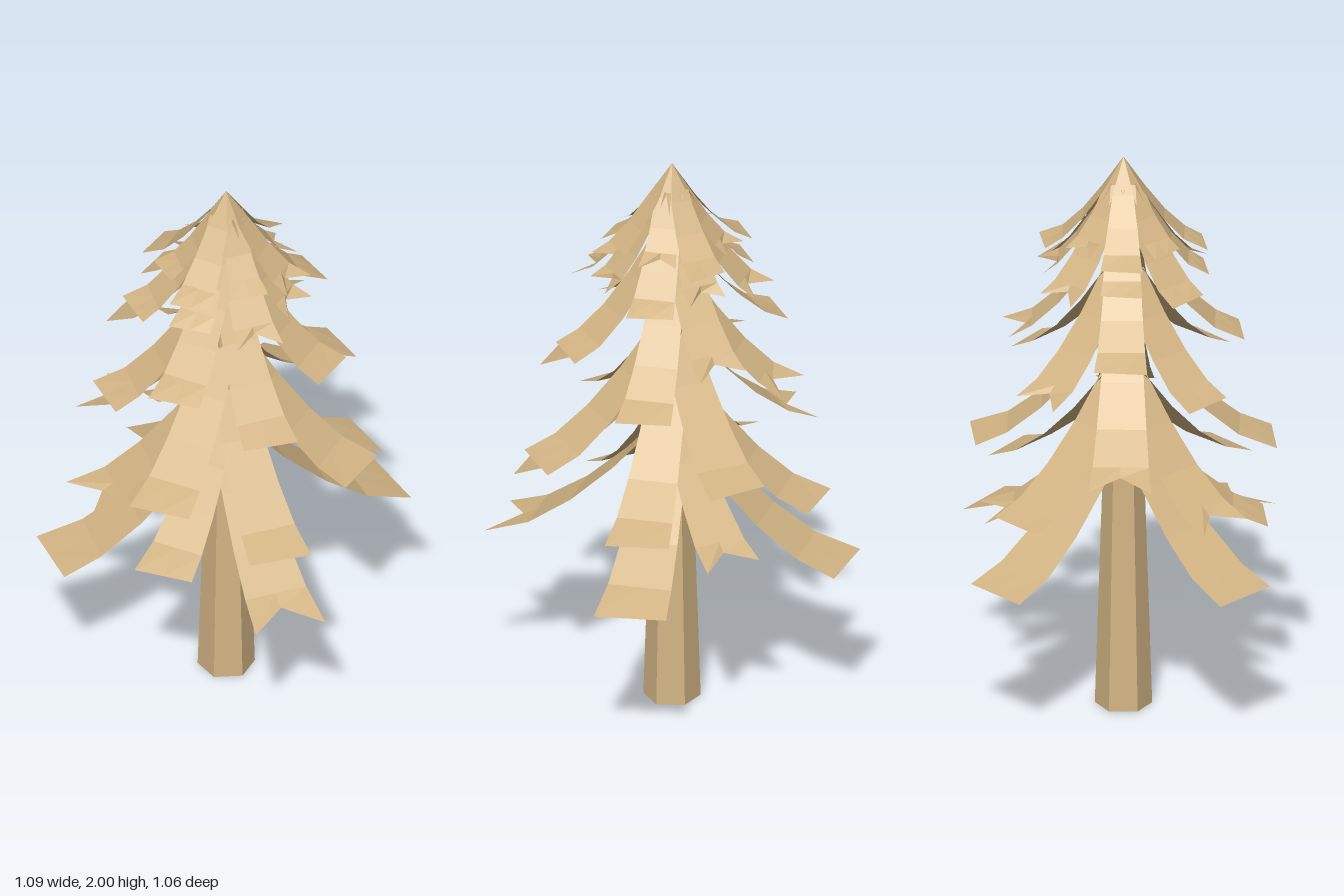
import * as THREE from 'three';

// Tiers from bottom to top; quarters count from +x towards +z
const TIERS = [
  { name: 'lowestBoughs', tip: 0.58, reach: 0.62, notched: [0], diagonal: true },
  { name: 'lowestSideBoughs', tip: 0.69, reach: 0.48, notched: [3], quarters: [1, 3] },
  { name: 'lowerBoughs', tip: 0.8, reach: 0.52, notched: [1], diagonal: true },
  { name: 'lowerSideBoughs', tip: 0.98, reach: 0.51, notched: [2] },
  { name: 'middleBoughs', tip: 1.22, reach: 0.43, notched: [2], diagonal: true },
  { name: 'middleSideBoughs', tip: 1.37, reach: 0.4, notched: [3] },
  { name: 'upperBoughs', tip: 1.57, reach: 0.33, notched: [0, 2], diagonal: true },
  { name: 'upperSideBoughs', tip: 1.6, reach: 0.28, notched: [0, 3] },
  { name: 'crownBoughs', tip: 1.71, reach: 0.225, notched: [2, 3], diagonal: true, crown: true },
  { name: 'crownSideBoughs', tip: 1.69, reach: 0.275, notched: [0], crown: true },
];

// Drooping strip running along +x, steep at the root and flatter at the tip
function boughGeometry({ tip, reach, crown }, notched, slant) {
  const steps = 4, positions = [], index = [];
  const inner = crown ? 0 : 0.04;
  const drop = 0.2 + 0.4 * reach;
  const width = 0.06 + 0.3 * reach;
  for (let i = 0; i <= steps; i++) {
    const t = i / steps;
    const y = tip + drop * (1 - t) ** 1.6;
    const half = width / 2 * (crown ? t ** 0.5 : 0.58 + 0.42 * t);
    const atTip = i === steps;
    for (const side of [-1, 0, 1]) {
      // The tip is cut slightly askew, and some have a V-shaped notch
      const notch = atTip && notched && side === 0 ? width * 0.38 : 0;
      const skew = atTip ? side * slant : 0;
      positions.push(inner + (reach - inner) * t - notch + skew, y + notch * 0.25, side * half);
    }
    if (atTip) continue;
    for (const a of [i * 3, i * 3 + 1]) index.push(a, a + 1, a + 4, a, a + 4, a + 3);
  }
  const geometry = new THREE.BufferGeometry();
  geometry.setAttribute('position', new THREE.Float32BufferAttribute(positions, 3));
  geometry.setIndex(index);
  geometry.computeVertexNormals();
  return geometry;
}

export function createModel() {
  const tree = new THREE.Group();
  tree.name = 'pineTree';
  const wood = new THREE.MeshStandardMaterial({ color: 0xd2b484, flatShading: true });
  const foliage = new THREE.MeshStandardMaterial({ color: 0xd2b484, flatShading: true, side: THREE.DoubleSide });

  // Six-sided tapering trunk
  const trunk = new THREE.Mesh(new THREE.CylinderGeometry(0.04, 0.097, 1.8, 6), wood);
  trunk.name = 'trunk';
  trunk.position.set(0.02, 0.9, 0.015);
  tree.add(trunk);

  // Rings of drooping boughs
  for (const tier of TIERS) {
    const ring = new THREE.Group();
    ring.name = tier.name;
    ring.position.set(0.02, 0, 0.015);
    for (const quarter of tier.quarters ?? [0, 1, 2, 3]) {
      const slant = quarter % 2 ? 0.012 : -0.008;
      const bough = new THREE.Mesh(boughGeometry(tier, tier.notched.includes(quarter), slant), foliage);
      bough.name = 'bough';
      // Diagonal boughs swing a little towards the sides
      const sway = tier.diagonal ? 44 + 4 * Math.sin(quarter * Math.PI / 2) : 1;
      bough.rotation.y = -THREE.MathUtils.degToRad(quarter * 90 + sway);
      ring.add(bough);
    }
    tree.add(ring);
  }
  return tree;
}
